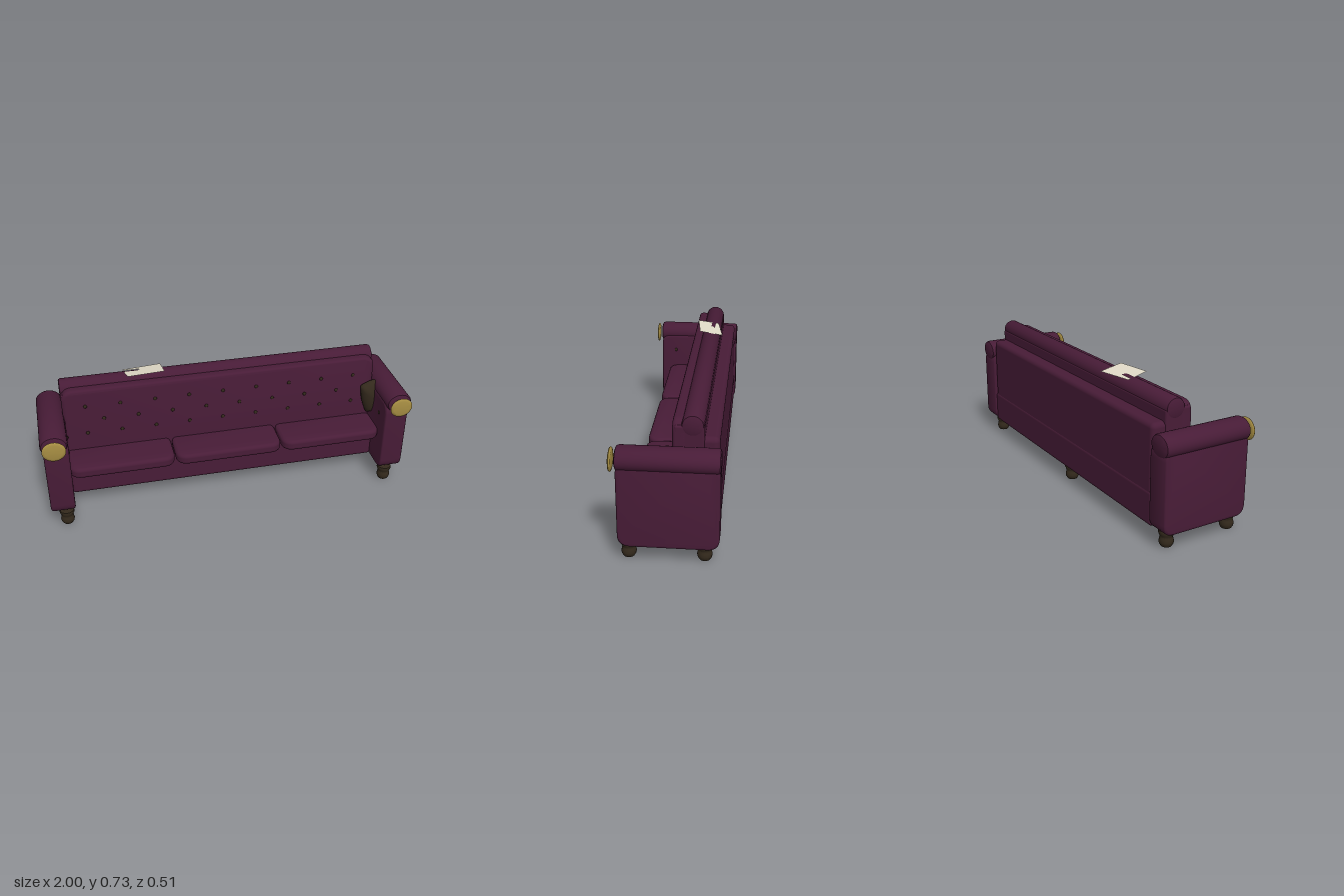
import * as THREE from 'three';
import { toCreasedNormals } from 'three/addons/utils/BufferGeometryUtils.js';
import { RoundedBoxGeometry } from 'three/addons/geometries/RoundedBoxGeometry.js';

export function createModel() {
  const model = new THREE.Group();
  model.name = 'sofa';
  const material = (name, color, side = THREE.FrontSide) => {
    const m = new THREE.MeshStandardMaterial({ color, side });
    m.name = name;
    return m;
  };
  const plum = material('plum upholstery', 0x481c37);
  const wood = material('dark wood', 0x33291c);
  const gold = material('antique gold', 0xa78e43);
  const cream = material('cream paper', 0xe3dcc9, THREE.DoubleSide);

  const add = (name, geometry, mat, x = 0, y = 0, z = 0) => {
    const mesh = new THREE.Mesh(geometry, mat);
    mesh.name = name;
    mesh.position.set(x, y, z);
    model.add(mesh);
    return mesh;
  };

  // Soft block given by its limits on each axis
  const block = (name, [x0, x1], [y0, y1], [z0, z1], radius) =>
    add(name, new RoundedBoxGeometry(x1 - x0, y1 - y0, z1 - z0, 4, radius), plum,
      (x0 + x1) / 2, (y0 + y1) / 2, (z0 + z1) / 2);

  // Rounded rectangle extruded along z with a soft bevel, centred
  const slab = (w, h, depth, radius, bevel) => {
    const a = w / 2 - bevel, b = h / 2 - bevel, r = radius;
    const s = new THREE.Shape();
    s.moveTo(-a + r, -b);
    s.lineTo(a - r, -b).quadraticCurveTo(a, -b, a, -b + r);
    s.lineTo(a, b - r).quadraticCurveTo(a, b, a - r, b);
    s.lineTo(-a + r, b).quadraticCurveTo(-a, b, -a, b - r);
    s.lineTo(-a, -b + r).quadraticCurveTo(-a, -b, -a + r, -b);
    const g = new THREE.ExtrudeGeometry(s, {
      depth: depth - 2 * bevel, bevelThickness: bevel, bevelSize: bevel,
      bevelSegments: 4, curveSegments: 6,
    });
    g.translate(0, 0, -depth / 2 + bevel);
    return toCreasedNormals(g, 0.7);
  };

  const lathe = (points, segments) => toCreasedNormals(
    new THREE.LatheGeometry(points.map(([r, y]) => new THREE.Vector2(r, y)), segments), 0.7);

  // Cylinder with softened ends, along y
  const roll = (radius, length, soft) => {
    const h = length / 2;
    return lathe([[0, -h], [radius - soft, -h], [radius - soft * 0.3, -h + soft * 0.3],
      [radius, -h + soft], [radius, h - soft], [radius - soft * 0.3, h - soft * 0.3],
      [radius - soft, h], [0, h]], 32);
  };

  // Base, set back under the seat, and backrest
  block('base', [-0.865, 0.865], [0.087, 0.272], [-0.243, 0.065], 0.022);
  block('backCore', [-0.865, 0.865], [0.22, 0.66], [-0.171, -0.03], 0.012);
  block('rearPanel', [-0.86, 0.86], [0.23, 0.602], [-0.24, -0.13], 0.026);
  add('backCushion', slab(1.73, 0.46, 0.075, 0.04, 0.018), plum, 0, 0.453, -0.0595);
  const backRoll = add('backRoll', roll(0.052, 1.735, 0.012), plum, 0, 0.66, -0.117);
  backRoll.rotation.z = Math.PI / 2;

  // Three seat cushions
  for (const [x, width] of [[-0.582, 0.565], [0, 0.586], [0.582, 0.565]]) {
    const seat = slab(width, 0.23, 0.06, 0.045, 0.02);
    seat.rotateX(-Math.PI / 2);
    add('seatCushion', seat, plum, x, 0.29, 0.055);
  }

  // Tufting buttons in staggered rows
  const button = new THREE.SphereGeometry(0.01, 10, 8);
  [0.587, 0.502, 0.42].forEach((y, row) => {
    const count = row === 1 ? 8 : 9;
    for (let i = 0; i < count; i++) {
      add('backButton', button, wood, (i - (count - 1) / 2) * 0.186, y, -0.021).scale.z = 0.6;
    }
  });

  // Arms, mirrored
  const armSide = slab(0.476, 0.43, 0.13, 0.045, 0.014);
  armSide.rotateY(Math.PI / 2);
  const armRoll = roll(0.058, 0.48, 0.015);
  const cap = lathe([[0, -0.007], [0.042, -0.007], [0.054, -0.004], [0.057, 0],
    [0.054, 0.004], [0.042, 0.007], [0, 0.007]], 28);
  for (const side of [-1, 1]) {
    add('armPanel', armSide, plum, side * 0.921, 0.303, -0.014);
    const top = add('armRoll', armRoll, plum, side * 0.929, 0.522, -0.013);
    top.rotation.x = Math.PI / 2;
    top.scale.x = 1.2;
    const disc = add('armCap', cap, gold, side * 0.93, 0.513, 0.25);
    disc.rotation.x = Math.PI / 2;
    disc.scale.x = 1.08;
    for (const z of [0, 0.135]) {
      add('armButton', button, wood, side * 0.856, 0.42, z).scale.x = 0.6;
    }
  }

  // Turned feet: four corners and one under the middle of the back
  const foot = lathe([[0, 0], [0.027, 0], [0.034, 0.012], [0.037, 0.024], [0.034, 0.038],
    [0.031, 0.049], [0.035, 0.06], [0.04, 0.071], [0.038, 0.083], [0, 0.083]], 16);
  for (const [x, z] of [[-0.905, 0.18], [0.905, 0.18], [-0.905, -0.18], [0.905, -0.18], [0, -0.18]]) {
    add('foot', foot, wood, x, 0, z);
  }

  // Dark square throw pillow wedged into the corner: a sphere pushed out towards a square
  const pillowShape = new THREE.SphereGeometry(1, 32, 20);
  const q = pillowShape.attributes.position;
  for (let i = 0; i < q.count; i++) {
    const x = q.getX(i), y = q.getY(i);
    const grow = Math.hypot(x, y) / Math.max(Math.abs(x), Math.abs(y), 1e-6);
    const k = 1 + (Math.min(grow, 1.42) - 1) * 0.6;
    q.setXY(i, x * k, y * k);
  }
  pillowShape.computeVertexNormals();
  const pillow = add('throwPillow', pillowShape, wood, 0.872, 0.452, 0.003);
  pillow.scale.set(0.074, 0.1, 0.048);
  pillow.rotation.z = 0.25;

  // Torn sheet of paper lying tilted over the back roll
  const outline = [[-0.523, -0.155], [-0.315, -0.187], [-0.308, -0.06], [-0.508, -0.037],
    [-0.52, -0.117], [-0.45, -0.117], [-0.432, -0.137], [-0.521, -0.138]];
  const sheet = new THREE.ShapeGeometry(
    new THREE.Shape(outline.map(([x, z]) => new THREE.Vector2(x, -z))));
  sheet.rotateX(-Math.PI / 2);
  const p = sheet.attributes.position;
  for (let i = 0; i < p.count; i++) p.setY(i, 0.702 + (p.getZ(i) + 0.187) * 0.185);
  sheet.computeVertexNormals();
  add('paperSheet', sheet, cream);

  return model;
}
